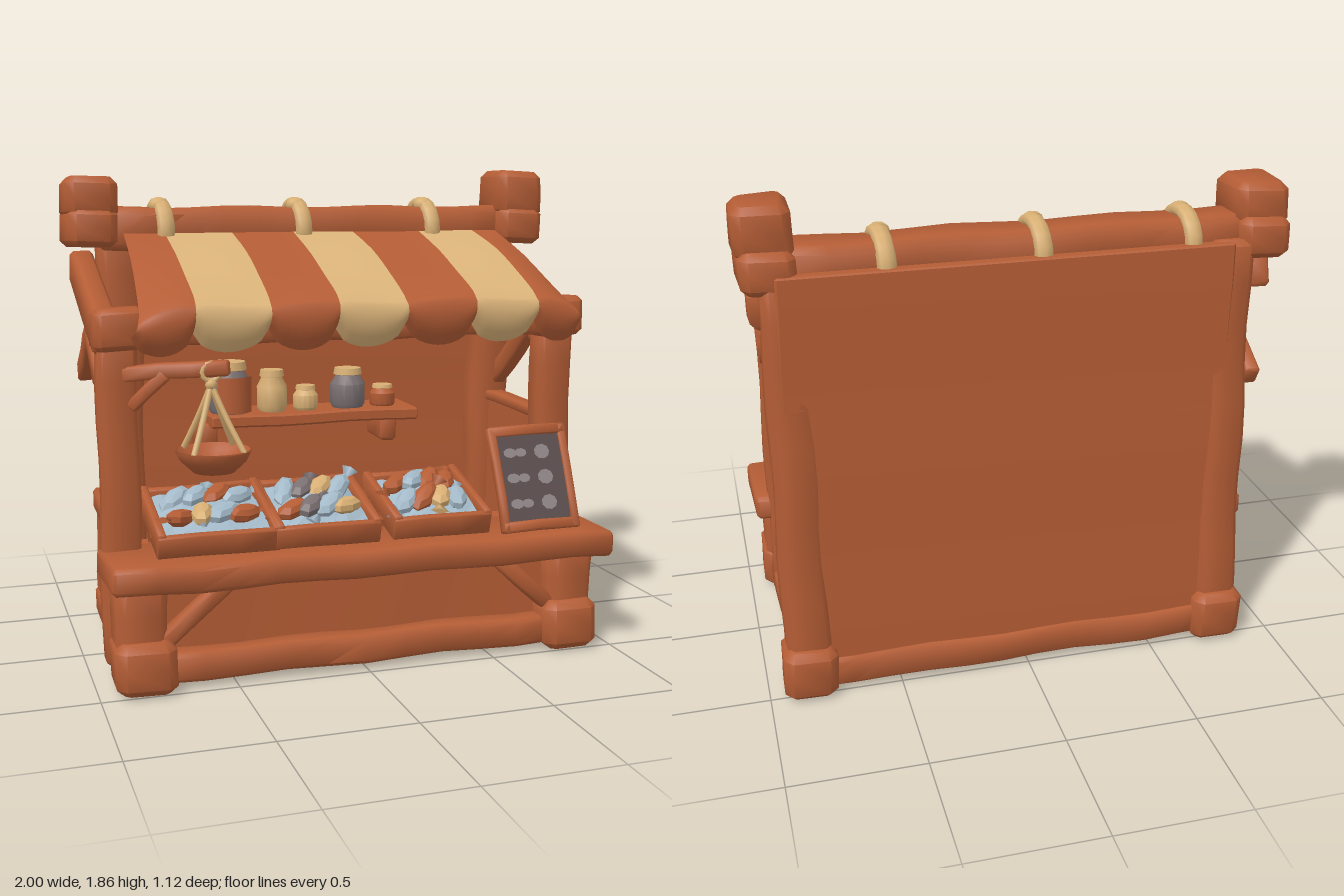
import * as THREE from 'three';
import { toCreasedNormals } from 'three/addons/utils/BufferGeometryUtils.js';

const material = (name, color, side = THREE.FrontSide) => {
  const m = new THREE.MeshStandardMaterial({ color, side });
  m.name = name;
  return m;
};

export function createModel() {
  const wood = material('brown wood', 0xb45d35);
  const cloth = material('brown cloth', 0xb45d36, THREE.DoubleSide);
  const cream = material('cream cloth', 0xdab279, THREE.DoubleSide);
  const tan = material('tan rope', 0xd8af74);
  const ice = material('pale blue', 0xa3b9c8, THREE.DoubleSide);
  const grey = material('grey clay', 0x7b7072);
  const slate = material('dark slate', 0x5b4d4d);
  const chalk = material('chalk', 0x8f8587);

  const root = new THREE.Group();
  root.name = 'marketStall';
  const V = (x, y, z) => new THREE.Vector3(x, y, z);

  let seed = 7;
  const rand = (a, b) => {
    seed = (seed * 16807) % 2147483647;
    return a + (b - a) * (seed / 2147483647);
  };

  function add(name, geometry, mat, parent = root) {
    const mesh = new THREE.Mesh(geometry, mat);
    mesh.name = name;
    parent.add(mesh);
    return mesh;
  }

  // Chamfered, slightly crooked timber from a to b; w is the sideways size, h the upright one
  // (for vertical timber w runs along x and h along z).
  function beam(name, a, b, w, h, { parent = root, wob = 0.005, crease = 0.85 } = {}) {
    const p = V(...a), q = V(...b), dir = q.clone().sub(p), len = dir.length();
    dir.normalize();
    const c = Math.min(w, h) * 0.16, x = w / 2, y = h / 2;
    const shape = new THREE.Shape([[x - c, -y], [x, c - y], [x, y - c], [x - c, y], [c - x, y], [-x, y - c], [-x, c - y], [c - x, -y]]
      .map(([u, v]) => new THREE.Vector2(u, v)));
    const bev = Math.min(c * 0.8, len * 0.2);
    const g = new THREE.ExtrudeGeometry(shape, {
      depth: len - 2 * bev, steps: Math.max(2, Math.ceil(len / 0.16)),
      bevelThickness: bev, bevelSize: bev, bevelOffset: -bev, bevelSegments: 1,
    });
    g.translate(0, 0, bev);
    const up = Math.abs(dir.y) > 0.95 ? V(0, 0, 1) : V(0, 1, 0);
    const side = up.cross(dir).normalize();
    g.applyMatrix4(new THREE.Matrix4().makeBasis(side, dir.clone().cross(side), dir).setPosition(p));
    const pos = g.attributes.position;
    for (let i = 0; i < pos.count; i++) {
      const px = pos.getX(i), py = pos.getY(i), pz = pos.getZ(i);
      pos.setXYZ(i, px + wob * Math.sin(9 * py + 7 * pz), py + wob * Math.sin(11 * px + 8 * pz + 1), pz + wob * Math.sin(10 * py + 8 * px + 2));
    }
    return add(name, toCreasedNormals(g, crease), wood, parent);
  }
  const panel = { wob: 0.003, crease: 0.4 };

  // Posts, feet and caps for each side
  for (const s of [-1, 1]) {
    const left = s < 0;
    const xf = left ? -0.88 : 0.84, xb = left ? -0.77 : 0.845, xr = left ? -0.92 : 0.88;
    beam('frontPost', [xf, 0.05, 0.24], [xf, 1.26, 0.24], 0.14, 0.11);
    beam('frontPostCap', [xf, 1.21, 0.265], [xf, 1.36, 0.265], 0.18, 0.15);
    beam('frontLeg', [s * 0.84, 0.05, 0.385], [s * 0.84, 0.4, 0.385], 0.18, 0.2);
    beam('frontFoot', [s * 0.83, 0, 0.405], [s * 0.83, 0.19, 0.405], 0.22, 0.25);
    beam('backPost', [xb, 0.05, -0.435], [xb, 1.62, -0.365], 0.165, 0.165);
    beam('backFoot', [xb, 0, -0.455], [xb, 0.2, -0.455], 0.2, 0.2);
    beam('ridgeCollar', [s * 0.895, 1.55, -0.305], [s * 0.895, 1.7, -0.305], 0.19, 0.29);
    beam('ridgeCap', [s * 0.897, 1.66, -0.295], [s * 0.897, left ? 1.82 : 1.85, -0.295], 0.2, 0.24);
    // Sloping rafter and its braces
    beam('rafter', [xr, 1.475, -0.34], [xr, 1.255, 0.28], 0.09, 0.13);
    beam('longBrace', [xr, 1.275, 0.04], [xr, left ? 1.05 : 0.95, -0.36], 0.06, 0.085);
    beam('shortBrace', [xr, 1.1, 0.2], [xr, 1.24, -0.02], 0.06, 0.07);
    // Side wall, lower on one side
    const top = left ? 0.5 : 0.88;
    beam('sideWall', [s * 0.86, top / 2 + 0.02, 0.22], [s * 0.86, top / 2 + 0.02, -0.4], 0.05, top - 0.04, panel);
    beam('sideRail', [s * 0.86, top, 0.22], [s * 0.86, top + (left ? 0.02 : 0), -0.4], 0.08, left ? 0.09 : 0.04);
    beam('sideSill', [s * 0.86, 0.09, 0.34], [s * 0.84, 0.09, -0.42], 0.1, 0.11);
    beam('counterBrace', [s * 0.76, 0.17, 0.44], [s * 0.53, 0.38, 0.44], 0.06, 0.06);
  }

  // Floor, back wall, front apron and counter
  beam('floor', [-0.84, 0.045, 0], [0.84, 0.045, 0], 0.9, 0.03, panel);
  beam('backWall', [0.055, 0.05, -0.467], [0.055, 1.62, -0.432], 1.65, 0.05, panel);
  beam('apron', [-0.8, 0.225, 0.37], [0.8, 0.225, 0.37], 0.04, 0.35, panel);
  beam('backSill', [-0.78, 0.08, -0.465], [0.84, 0.08, -0.465], 0.09, 0.12);
  beam('frontSill', [-0.78, 0.075, 0.42], [0.78, 0.075, 0.42], 0.1, 0.11);
  beam('counter', [-0.96, 0.43, 0.38], [0.965, 0.425, 0.38], 0.36, 0.1);
  beam('counterBack', [-0.83, 0.44, 0.16], [0.83, 0.44, 0.16], 0.12, 0.06, panel);
  beam('eaveBeam', [-0.94, 1.27, 0.27], [0.92, 1.27, 0.27], 0.09, 0.1);
  beam('ridgeBeam', [-0.86, 1.62, -0.31], [0.86, 1.62, -0.31], 0.18, 0.17);

  // Striped awning with drooping ends and a scalloped front edge
  const topX = [-0.77, -0.61, -0.34, -0.085, 0.165, 0.455, 0.695, 0.8];
  const lowX = [-0.85, -0.63, -0.355, -0.1, 0.17, 0.44, 0.7, 0.89];
  const slope = new THREE.CatmullRomCurve3([V(0, 1.61, -0.24), V(0, 1.535, 0.03), V(0, 1.46, 0.225), V(0, 1.395, 0.38), V(0, 1.36, 0.435)]);
  for (let i = 0; i < 7; i++) {
    const g = new THREE.PlaneGeometry(1, 1, 10, 16), pos = g.attributes.position;
    for (let k = 0; k < pos.count; k++) {
      const u = pos.getX(k) + 0.5, t = 0.5 - pos.getY(k);
      const x = THREE.MathUtils.lerp(
        THREE.MathUtils.lerp(topX[i], lowX[i], t), THREE.MathUtils.lerp(topX[i + 1], lowX[i + 1], t), u);
      const p = slope.getPoint(Math.min(1, t / 0.75)), d = Math.max(0, (t - 0.75) / 0.25);
      const drop = 0.085 + 0.075 * Math.sqrt(Math.sin(Math.PI * Math.min(1, Math.max(0, u))));
      const ripple = 0.006 * Math.sin(x * 12) * Math.sin(t * 7);
      const end = i === 0 ? 1 - u : i === 6 ? u : 0;
      const droop = 0.05 * end * end * Math.min(1, t * 2) * (1 - d * 0.7);
      const skew = 0.022 * (x + 0.85) * t;
      pos.setXYZ(k, x, p.y - d * drop + ripple - droop, p.z + 0.015 * Math.sin(d * Math.PI) - 0.035 * d * d - skew);
    }
    g.computeVertexNormals();
    add('awningStripe', g, i % 2 ? cream : cloth);
  }

  // Rope straps knotted around the ridge
  for (const x of [-0.615, -0.055, 0.5]) {
    const tie = add('ridgeTie', new THREE.TorusGeometry(0.11, 0.026, 8, 18), tan);
    tie.position.set(x, 1.61, -0.31);
    tie.rotation.y = Math.PI / 2 + 0.08;
    tie.scale.z = 1.35;
    const knot = add('ridgeKnot', new THREE.SphereGeometry(0.036, 8, 6), tan);
    knot.position.set(x - 0.005, 1.71, -0.275);
    knot.scale.set(1.15, 0.9, 1.1);
  }

  // Wall shelf with jars
  beam('shelf', [-0.44, 0.845, -0.3], [0.445, 0.845, -0.3], 0.24, 0.05, panel);
  for (const x of [-0.435, 0.34]) beam('shelfBracket', [x, 0.775, -0.43], [x, 0.775, -0.24], 0.07, 0.11);
  const jars = [[-0.345, 0.088, 0.21, grey], [-0.165, 0.062, 0.17, tan], [-0.02, 0.052, 0.1, tan], [0.165, 0.073, 0.165, grey], [0.32, 0.054, 0.09, wood]];
  for (const [x, r, h, mat] of jars) {
    const jar = new THREE.Group();
    jar.name = 'jar';
    jar.position.set(x, 0.868, -0.28);
    root.add(jar);
    const body = [[0, 0], [0.85, 0], [1, 0.12], [1, 0.62], [0.68, 0.84], [0.7, 0.88], [0, 0.88]];
    add('jarBody', toCreasedNormals(new THREE.LatheGeometry(body.map(([a, b]) => new THREE.Vector2(a * r, b * h)), 14), 0.7), mat, jar);
    add('jarLid', new THREE.CylinderGeometry(r * 0.76, r * 0.82, h * 0.16, 14), tan, jar).position.y = h * 0.94;
    if (x < -0.3) {
      const label = new THREE.CylinderGeometry(r * 1.04, r * 1.04, h * 0.7, 10, 1, true, -0.75, 1.95);
      add('jarLabel', label, cloth, jar).position.y = h * 0.39;
    }
  }

  // Hanging scale
  beam('scaleArm', [-0.86, 1.12, 0.27], [-0.51, 1.155, 0.42], 0.05, 0.055);
  beam('scaleArmBrace', [-0.83, 1.0, 0.28], [-0.72, 1.12, 0.34], 0.04, 0.045);
  const pan = [[0, 0], [0.07, 0.008], [0.115, 0.045], [0.13, 0.07], [0.138, 0.065], [0.12, 0.03], [0.075, -0.012], [0, -0.015]];
  add('scalePan', new THREE.LatheGeometry(pan.map(([a, b]) => new THREE.Vector2(a, b)), 18), cloth).position.set(-0.565, 0.79, 0.41);
  add('scaleKnot', new THREE.SphereGeometry(0.022, 8, 6), tan).position.set(-0.57, 1.09, 0.405);
  add('scaleHook', new THREE.TorusGeometry(0.032, 0.01, 6, 12), tan).position.set(-0.57, 1.135, 0.405);
  for (let i = 0; i < 4; i++) {
    const a = Math.PI / 4 + i * Math.PI / 2;
    const end = V(-0.565 + 0.128 * Math.cos(a), 0.855, 0.41 + 0.128 * Math.sin(a)), start = V(-0.57, 1.09, 0.405);
    const rope = new THREE.CatmullRomCurve3([start, start.clone().lerp(end, 0.5).add(V(0, -0.008, 0)), end]);
    add('scaleRope', new THREE.TubeGeometry(rope, 6, 0.011, 6), tan);
  }

  // Deep tilted crates of fish on ice
  const crates = [
    [-0.79, -0.34, [ice, ice, wood, ice, wood, tan, ice, wood]],
    [-0.36, 0.04, [ice, grey, tan, ice, wood, grey, ice, tan]],
    [0.09, 0.48, [wood, ice, wood, wood, ice, wood, tan, ice]],
  ];
  for (const [x0, x1, haul] of crates) {
    const crate = new THREE.Group(), w = x1 - x0, o = { parent: crate, wob: 0.003 };
    crate.name = 'fishCrate';
    crate.position.set((x0 + x1) / 2, 0.57, 0.305);
    crate.rotation.x = 0.29;
    root.add(crate);
    beam('crateFloor', [-w / 2, -0.015, 0], [w / 2, -0.015, 0], 0.37, 0.03, o);
    for (const s of [-1, 1]) {
      beam('crateEnd', [-w / 2, 0.013, s * 0.175], [w / 2, 0.013, s * 0.175], 0.03, 0.085, o);
      beam('crateSide', [s * (w / 2 - 0.015), 0.018, -0.185], [s * (w / 2 - 0.015), 0.018, 0.185], 0.03, 0.095, o);
    }
    beam('crateProp', [x0 + 0.03, 0.52, 0.17], [x1 - 0.03, 0.52, 0.17], 0.06, 0.12);
    const bed = new THREE.PlaneGeometry(w - 0.05, 0.33, 8, 7).rotateX(-Math.PI / 2), bp = bed.attributes.position;
    for (let k = 0; k < bp.count; k++) {
      const r = Math.hypot(bp.getX(k) / w * 2, bp.getZ(k) / 0.18);
      bp.setY(k, 0.03 + Math.max(0, 0.05 * (1 - r)) + rand(-0.008, 0.008));
    }
    add('iceBed', toCreasedNormals(bed, 0.1), ice, crate);
    // Large fish heaped towards the middle, in two rows
    haul.forEach((mat, k) => {
      const fish = new THREE.Group();
      fish.name = 'fish';
      const x = ((k % 4) / 3 - 0.5) * 0.52 * w, z = k < 4 ? -0.07 : 0.06;
      fish.position.set(x, 0.075 - Math.abs(x) * 0.15, z);
      fish.rotation.set(rand(-0.3, 0.3), rand(0.4, 1.3) + (k % 2) * Math.PI, rand(-0.25, 0.25));
      crate.add(fish);
      add('fishBody', toCreasedNormals(new THREE.SphereGeometry(0.08, 7, 5).scale(1, 0.42, 0.52), 0.4), mat, fish);
      const tail = add('fishTail', new THREE.ConeGeometry(0.034, 0.06, 4).scale(1, 1, 0.35), mat, fish);
      tail.rotation.set(Math.PI / 2, 0, -Math.PI / 2);
      tail.position.x = -0.085;
    });
  }

  // Leaning price board
  const board = new THREE.Group();
  board.name = 'priceBoard';
  board.position.set(0.7, 0.48, 0.475);
  board.rotation.x = -0.4;
  root.add(board);
  const o = { parent: board, wob: 0.003 };
  for (const s of [-1, 1]) {
    beam('boardStile', [s * 0.147, 0, 0], [s * 0.147, 0.41, 0], 0.033, 0.03, o);
    beam('boardRail', [-0.16, 0.205 + s * 0.187, 0], [0.16, 0.205 + s * 0.187, 0], 0.03, 0.04, o);
  }
  add('boardBack', new THREE.BoxGeometry(0.28, 0.36, 0.012), wood, board).position.set(0, 0.205, -0.008);
  add('boardSlate', new THREE.BoxGeometry(0.265, 0.34, 0.008), slate, board).position.set(0, 0.205, 0.003);
  for (let r = 0; r < 3; r++) {
    for (const [x, s] of [[-0.085, 0.028], [-0.04, 0.025], [0.05, 0.033]]) {
      const mark = add('chalkSmudge', new THREE.CircleGeometry(s, 9), chalk, board);
      mark.scale.y = x > 0 ? 0.9 : 0.7;
      mark.position.set(x, 0.105 + r * 0.1, 0.009);
    }
  }
  return root;
}
